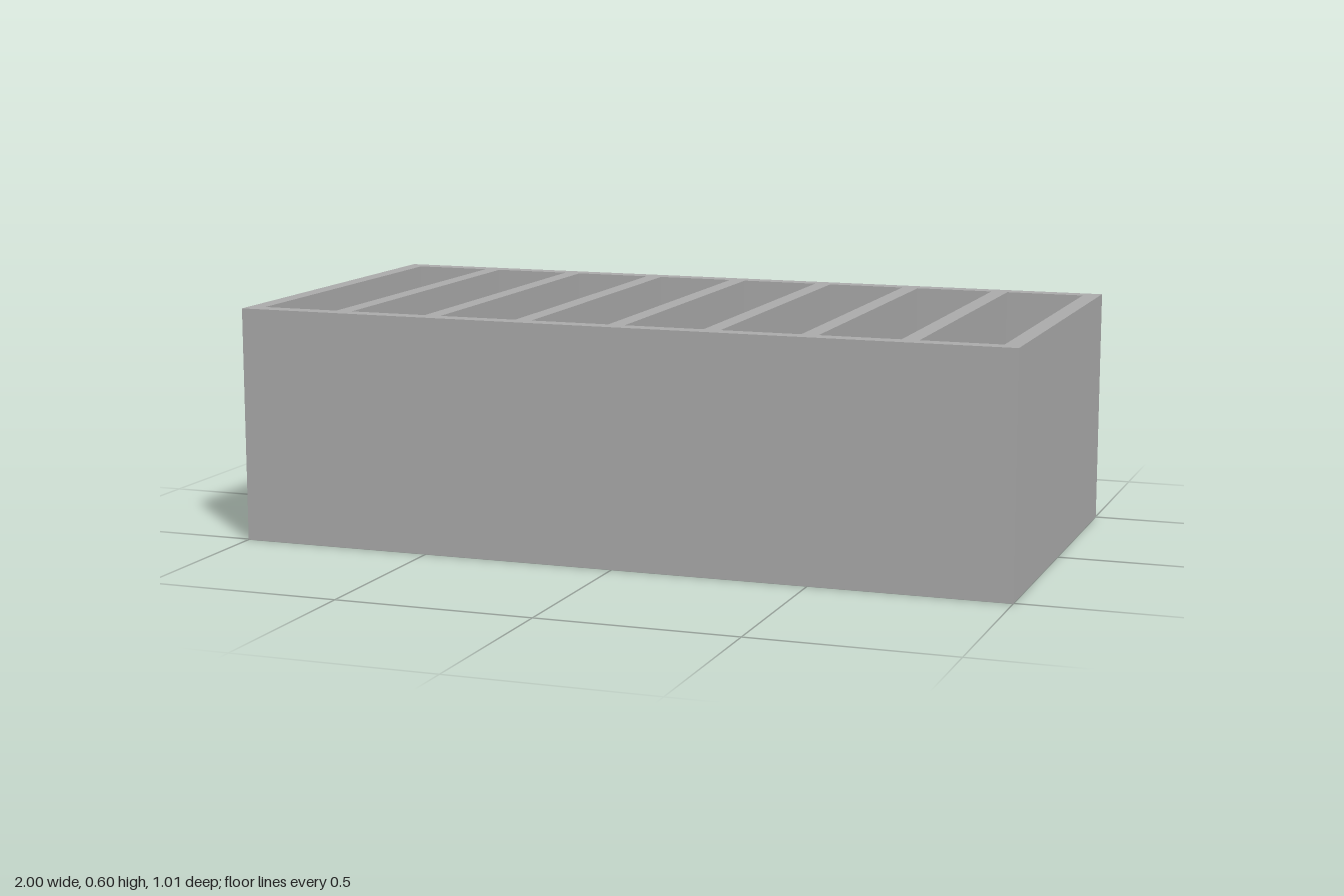
import * as THREE from 'three';

const WIDTH = 2, HEIGHT = 0.6, DEPTH = 1.01;
const WALL = 0.043, SLOTS = 8;

// Adds a closed rectangle to a shape or hole path
function rect(path, x0, y0, x1, y1) {
  path.moveTo(x0, y0);
  path.lineTo(x1, y0);
  path.lineTo(x1, y1);
  path.lineTo(x0, y1);
  path.closePath();
  return path;
}

export function createModel() {
  const group = new THREE.Group();
  group.name = 'compartmentTray';
  const grey = new THREE.MeshStandardMaterial({ color: 0xaaaaaa });
  grey.name = 'grey';

  // Outer walls and dividers: one block pierced by evenly spaced slots
  const outline = rect(new THREE.Shape(), -WIDTH / 2, -DEPTH / 2, WIDTH / 2, DEPTH / 2);
  const slotWidth = (WIDTH - WALL * (SLOTS + 1)) / SLOTS;
  const halfSlot = DEPTH / 2 - WALL;
  for (let i = 0; i < SLOTS; i++) {
    const x = -WIDTH / 2 + WALL + i * (slotWidth + WALL);
    outline.holes.push(rect(new THREE.Path(), x, -halfSlot, x + slotWidth, halfSlot));
  }
  const wallGeometry = new THREE.ExtrudeGeometry(outline, { depth: HEIGHT - WALL, bevelEnabled: false });
  wallGeometry.rotateX(-Math.PI / 2);
  const walls = new THREE.Mesh(wallGeometry, grey);
  walls.name = 'wallsAndDividers';
  walls.position.y = WALL;
  group.add(walls);

  // Solid floor closing every slot
  const floor = new THREE.Mesh(new THREE.BoxGeometry(WIDTH, WALL, DEPTH), grey);
  floor.name = 'floor';
  floor.position.y = WALL / 2;
  group.add(floor);

  return group;
}
